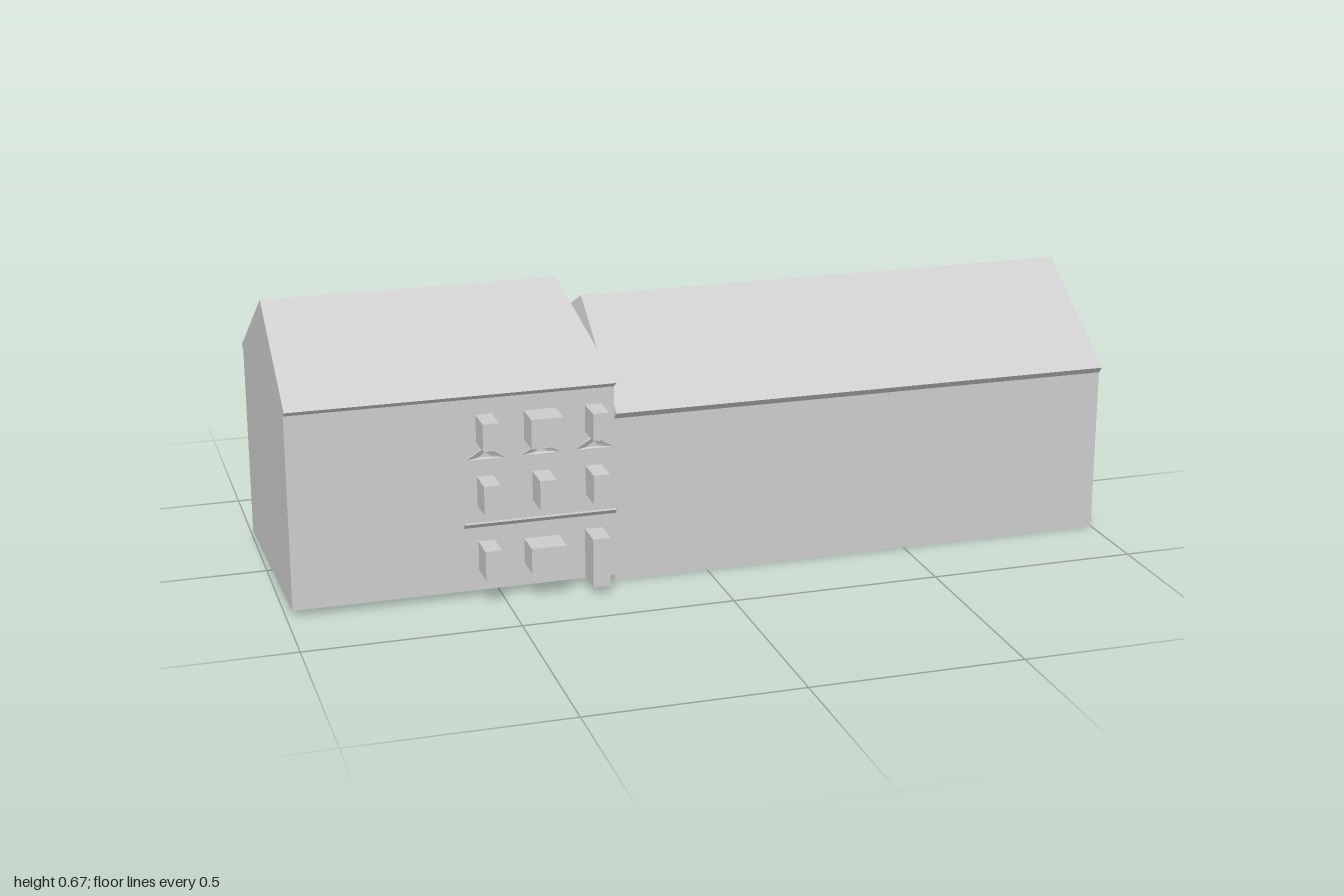
import * as THREE from 'three';

const stone = new THREE.MeshStandardMaterial({ color: 0xcccccc });
stone.name = 'pale grey stone';

function add(group, name, geometry) {
  const mesh = new THREE.Mesh(geometry, stone);
  mesh.name = name;
  group.add(mesh);
  return mesh;
}

function box(group, name, x0, x1, y0, y1, z0, z1) {
  add(group, name, new THREE.BoxGeometry(x1 - x0, y1 - y0, z1 - z0))
    .position.set((x0 + x1) / 2, (y0 + y1) / 2, (z0 + z1) / 2);
}

// Stretches a [z, y] profile along x between two slanting ends
function prism(profile, left, right) {
  const shape = new THREE.Shape(profile.map(([z, y]) => new THREE.Vector2(-z, y)));
  const g = new THREE.ExtrudeGeometry(shape, { depth: 1, bevelEnabled: false });
  g.rotateY(Math.PI / 2);
  const p = g.attributes.position;
  for (let i = 0; i < p.count; i++) {
    const y = p.getY(i), z = p.getZ(i);
    p.setX(i, p.getX(i) < 0.5 ? left(z, y) : right(z, y));
  }
  g.computeVertexNormals();
  return g;
}

// Walls flare out into the eaves; the roof is a triangular prism on top
function wing(name, d, left, right) {
  const g = new THREE.Group();
  g.name = name;
  add(g, 'walls', prism([
    [d.front, d.base], [d.back, d.base], [d.back, d.wallTop],
    [d.eaveBack, d.eaveY], [d.eaveFront, d.eaveY], [d.front, d.wallTop],
  ], left, right));
  add(g, 'roof', prism([
    [d.eaveFront, d.eaveY], [d.eaveBack, d.eaveY], [d.ridgeZ, d.ridgeY],
  ], left, right));
  return g;
}

// Small triangular hood: outer rim stands proud, inner triangle is recessed
function pedimentGeometry() {
  const ring = (w, y0, y1, z) => [[-w, y0, z], [w, y0, z], [0, y1, z]];
  const rings = [
    ring(0.046, 0, 0.03, 0), ring(0.046, 0.002, 0.03, 0.009), ring(0.016, 0.004, 0.016, 0.001),
  ];
  const v = [];
  for (let r = 0; r < 2; r++) {
    for (let i = 0; i < 3; i++) {
      const j = (i + 1) % 3;
      const a = rings[r][i], b = rings[r][j], c = rings[r + 1][j], d = rings[r + 1][i];
      v.push(...a, ...b, ...c, ...a, ...c, ...d);
    }
  }
  v.push(...rings[2].flat());
  const g = new THREE.BufferGeometry();
  g.setAttribute('position', new THREE.Float32BufferAttribute(v, 3));
  g.computeVertexNormals();
  return g;
}

export function createModel() {
  const model = new THREE.Group();
  model.name = 'building';

  // The wings meet along a slanting joint; each ridge ends off that line
  const joint = (z) => -0.225 - 0.142 * (0.315 - z);
  model.add(wing('tallWing', {
    front: 0.3, back: -0.23, base: 0.015, wallTop: 0.478,
    eaveFront: 0.315, eaveBack: -0.247, eaveY: 0.49, ridgeZ: 0.025, ridgeY: 0.672,
  }, (z, y) => (y > 0.6 ? -0.987 : -1 + 0.027 * (z + 0.247)),
  (z, y) => (y > 0.6 ? -0.29 : joint(z))));

  model.add(wing('longWing', {
    front: 0.3, back: -0.28, base: 0, wallTop: 0.4,
    eaveFront: 0.315, eaveBack: -0.294, eaveY: 0.416, ridgeZ: 0.008, ridgeY: 0.617,
  }, (z, y) => (y > 0.6 ? -0.225 : joint(z)), () => 1));

  // Chimney block against the back wall
  box(model, 'chimney', -0.4, -0.318, 0.015, 0.471, -0.372, -0.225);

  // Projecting windows and door: centre x, half width, bottom, top
  const windows = [
    [-0.533, 0.019, 0.375, 0.44], [-0.403, 0.037, 0.37, 0.44], [-0.277, 0.019, 0.375, 0.44],
    [-0.533, 0.019, 0.222, 0.292], [-0.403, 0.019, 0.222, 0.292], [-0.277, 0.019, 0.222, 0.292],
    [-0.533, 0.019, 0.065, 0.135], [-0.403, 0.041, 0.07, 0.13],
  ];
  for (const [x, w, y0, y1] of windows) box(model, 'window', x - w, x + w, y0, y1, 0.29, 0.372);
  box(model, 'door', -0.299, -0.258, 0.018, 0.137, 0.29, 0.372);

  // Pediments over the middle windows
  const pediment = pedimentGeometry();
  for (const x of [-0.533, -0.403, -0.278]) {
    add(model, 'pediment', pediment).position.set(x, 0.334, 0.3);
  }

  // Sloping ledge above the ground floor
  add(model, 'ledge', prism([[0.299, 0.168], [0.299, 0.181], [0.312, 0.181]],
    () => -0.585, () => -0.225));

  return model;
}
